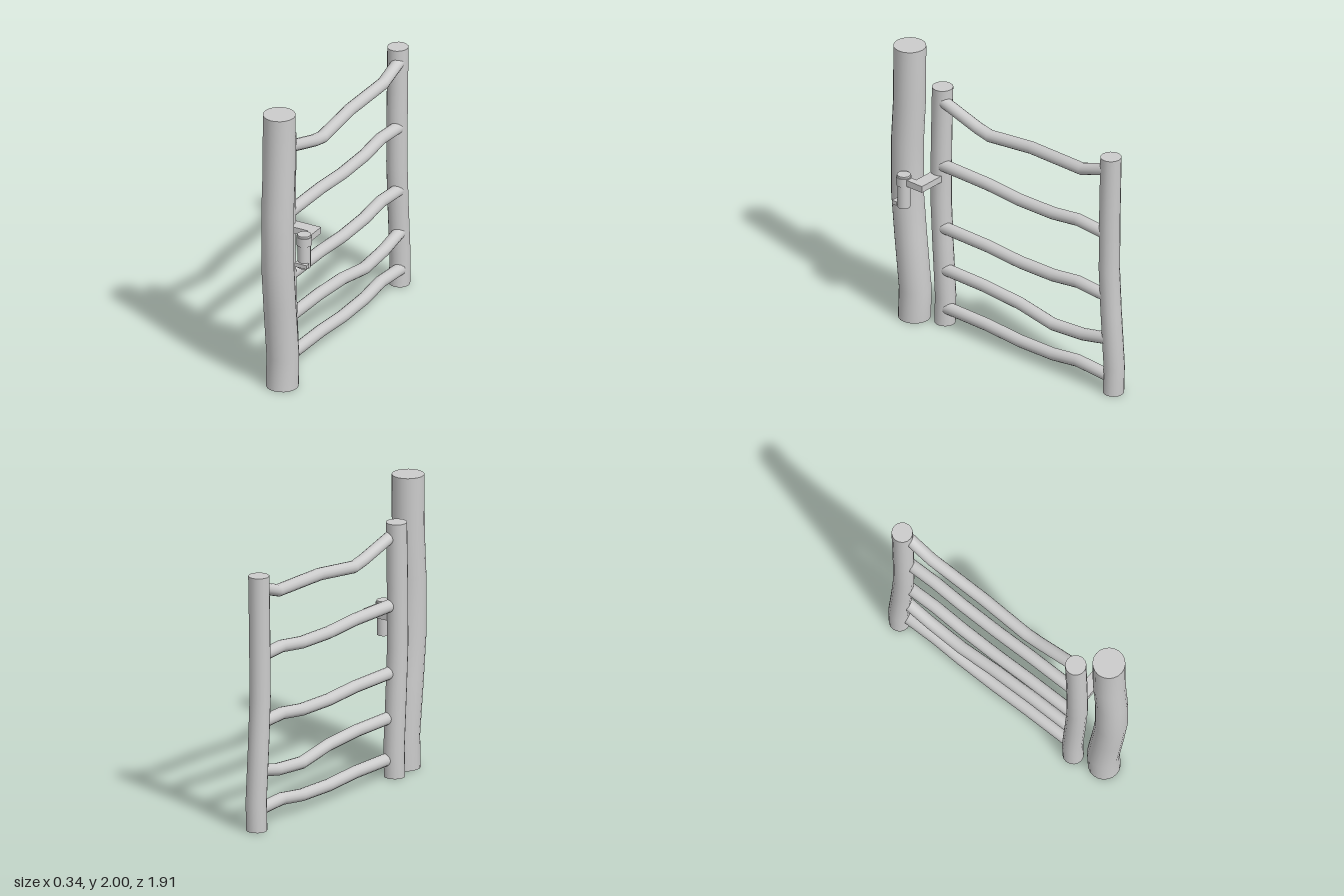
import * as THREE from 'three';
import { toCreasedNormals } from 'three/addons/utils/BufferGeometryUtils.js';

const material = new THREE.MeshStandardMaterial({ color: 0xcccccc });

function addMesh(parent, name, geometry, x = 0, y = 0, z = 0) {
  const mesh = new THREE.Mesh(geometry, material);
  mesh.name = name;
  mesh.position.set(x, y, z);
  parent.add(mesh);
  return mesh;
}

// Round bar along y, bent towards z: points are [y, z offset] with y falling
function bentBar(radius, points, sides = 16) {
  const n = points.length - 1;
  const geometry = new THREE.CylinderGeometry(radius, radius, n, sides, n);
  const pos = geometry.attributes.position;
  for (let i = 0; i < pos.count; i++) {
    const [y, dz] = points[Math.round(n / 2 - pos.getY(i))];
    pos.setY(i, y);
    pos.setZ(i, pos.getZ(i) + dz);
  }
  return toCreasedNormals(geometry, 0.9);
}

export function createModel() {
  const gate = new THREE.Group();
  gate.name = 'rusticGate';

  // Thick fixed post and the two uprights of the gate
  addMesh(gate, 'hangingPost', bentBar(0.108, [[2, 0.83], [1.6, 0.833], [1.3, 0.85],
    [0.9, 0.85], [0.6, 0.823], [0.22, 0.783], [0, 0.79]], 20), -0.03);
  addMesh(gate, 'frontUpright', bentBar(0.07, [[1.74, 0.611], [1.3, 0.621], [0.9, 0.624],
    [0.6, 0.609], [0.2, 0.585], [0, 0.59]]), -0.105);
  addMesh(gate, 'rearUpright', bentBar(0.07, [[1.74, -0.852], [1.3, -0.842], [0.9, -0.838],
    [0.6, -0.853], [0.2, -0.88], [0, -0.874]]), -0.105);

  // Crooked rails, each a list of [z, y]
  const wavy = (y) => [[0.6, y], [0.2, y - 0.002], [-0.085, y - 0.02], [-0.37, y - 0.015],
    [-0.585, y + 0.014], [-0.84, y - 0.002]];
  const rails = [
    [[0.61, 1.655], [0.28, 1.555], [0.18, 1.535], [-0.18, 1.577], [-0.62, 1.577], [-0.84, 1.652]],
    wavy(1.172),
    wavy(0.711),
    [[0.6, 0.405], [0.22, 0.403], [-0.085, 0.382], [-0.37, 0.331], [-0.63, 0.35], [-0.86, 0.4]],
    wavy(0.124),
  ];
  rails.forEach((points, i) => {
    const bar = bentBar(0.042, points.map(([z, y]) => [z, -y]), 14);
    addMesh(gate, `rail${i + 1}`, bar, -0.083).rotation.x = Math.PI / 2;
  });

  // Latch: stacked round parts beside the thick post
  const latch = new THREE.Group();
  latch.name = 'latch';
  gate.add(latch);
  const drum = (name, r, bottom, top) => addMesh(latch, name,
    new THREE.CylinderGeometry(r, r, top - bottom, 20), 0.115, (bottom + top) / 2, 0.755);
  drum('latchBody', 0.043, 0.888, 1.06);
  drum('latchCollar', 0.051, 1.052, 1.112);
  drum('latchCap', 0.045, 1.112, 1.126);
  addMesh(latch, 'latchTab', new THREE.BoxGeometry(0.09, 0.028, 0.036), 0.12, 0.918, 0.795);

  // Flat L-shaped arm from the upright to the latch, drawn as (x, -z)
  const outline = [[-0.1, 0.577], [0.14, 0.577], [0.14, 0.74], [0.093, 0.74], [0.093, 0.667],
    [-0.1, 0.667]].map(([x, z]) => new THREE.Vector2(x, -z));
  const arm = new THREE.ExtrudeGeometry(new THREE.Shape(outline), { depth: 0.046, bevelEnabled: false });
  addMesh(latch, 'latchArm', arm, 0, 1.06).rotation.x = -Math.PI / 2;

  return gate;
}
